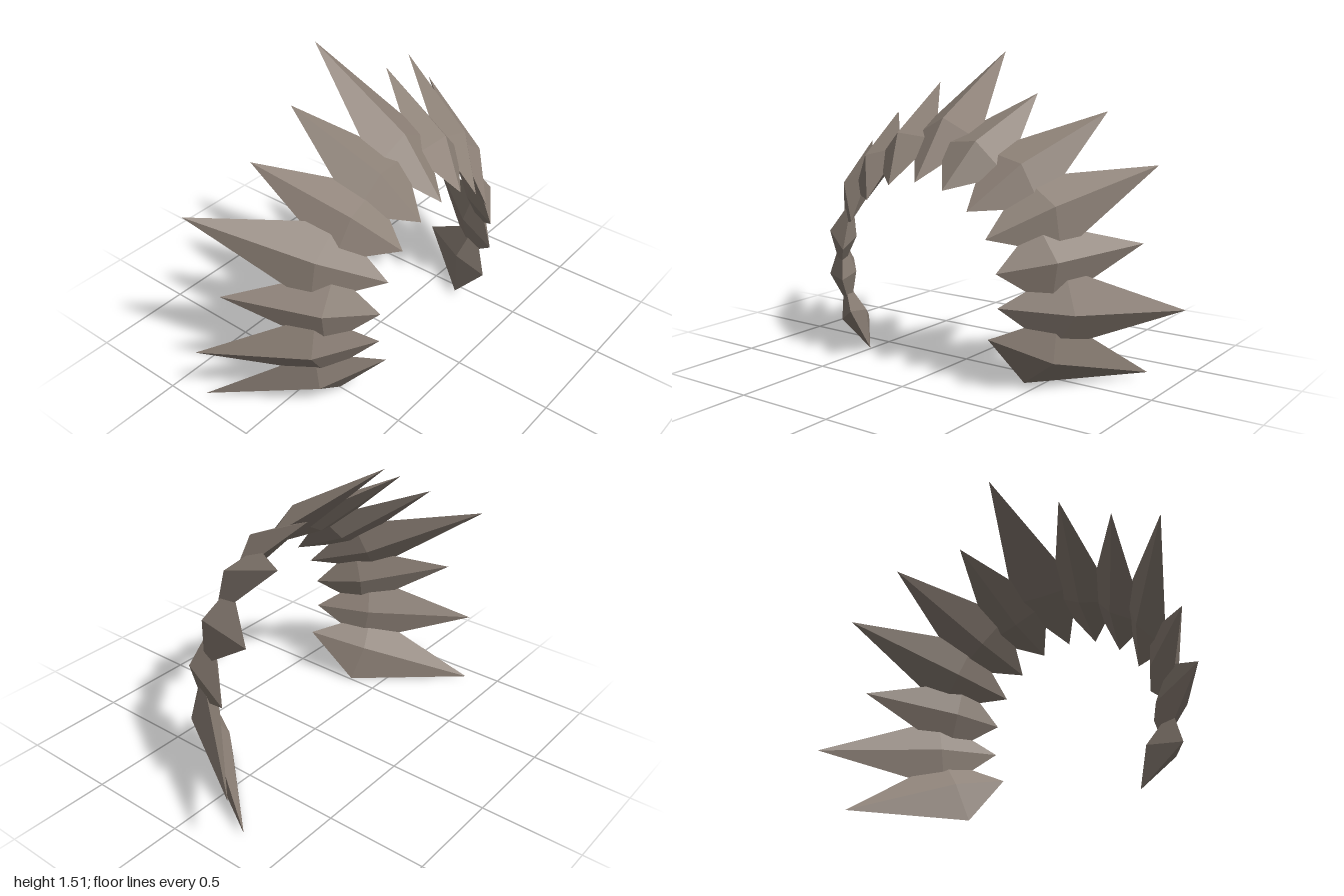
import * as THREE from 'three';

const stone = new THREE.MeshStandardMaterial({ color: 0x8c8076 });
stone.name = 'warm grey';

// Six-point blade: outer tip, inner tip, two side corners, a high front ridge point and a low back one
function bladeGeometry(outer, inner) {
  const axis = inner.clone().sub(outer);
  const side = new THREE.Vector3(-axis.y, axis.x, 0).normalize();
  const normal = axis.clone().cross(side).normalize();
  const point = (t, direction, offset) =>
    outer.clone().addScaledVector(axis, t).addScaledVector(direction, offset);
  const a = point(0.683, side, 0.19);
  const b = point(0.683, side, -0.19);
  const ridge = point(0.637, normal, 0.087);
  const back = point(0.67, normal, -0.05);
  const rim = [outer, b, inner, a];
  const faces = rim.flatMap((corner, i) => {
    const next = rim[(i + 1) % 4];
    return [corner, next, ridge, next, corner, back];
  });
  const geometry = new THREE.BufferGeometry().setFromPoints(faces);
  geometry.computeVertexNormals();
  return geometry;
}

// Outer tip x, y, z, then inner tip x, y; all inner tips share one depth
const leftBlades = [
  [0.845, 0.022, -0.28, 0.383, 0.256],
  [0.998, 0.33, -0.345, 0.432, 0.405],
  [0.85, 0.652, -0.19, 0.423, 0.557],
  [0.846, 0.993, -0.337, 0.367, 0.702],
  [0.6, 1.233, -0.295, 0.267, 0.816],
  [0.281, 1.312, -0.19, 0.132, 0.897],
];
const rightBlades = [
  [-0.932, 0, -0.335, -0.428, 0.256],
  [-1.0, 0.335, -0.29, -0.478, 0.405],
  [-0.905, 0.652, -0.19, -0.47, 0.557],
  [-0.915, 1.008, -0.367, -0.413, 0.702],
  [-0.612, 1.19, -0.235, -0.312, 0.816],
  [-0.337, 1.35, -0.24, -0.177, 0.897],
];
const crownBlade = [[-0.022, 1.507, -0.37, -0.022, 0.922]];

export function createModel() {
  const model = new THREE.Group();
  model.name = 'bladeArch';
  const rows = { leftBlade: leftBlades, rightBlade: rightBlades, crownBlade };
  for (const [name, blades] of Object.entries(rows)) {
    blades.forEach(([ox, oy, oz, ix, iy], i) => {
      const outer = new THREE.Vector3(ox, oy, oz);
      const inner = new THREE.Vector3(ix, iy, 0.37);
      const mesh = new THREE.Mesh(bladeGeometry(outer, inner), stone);
      mesh.name = blades.length > 1 ? name + (i + 1) : name;
      model.add(mesh);
    });
  }
  return model;
}
